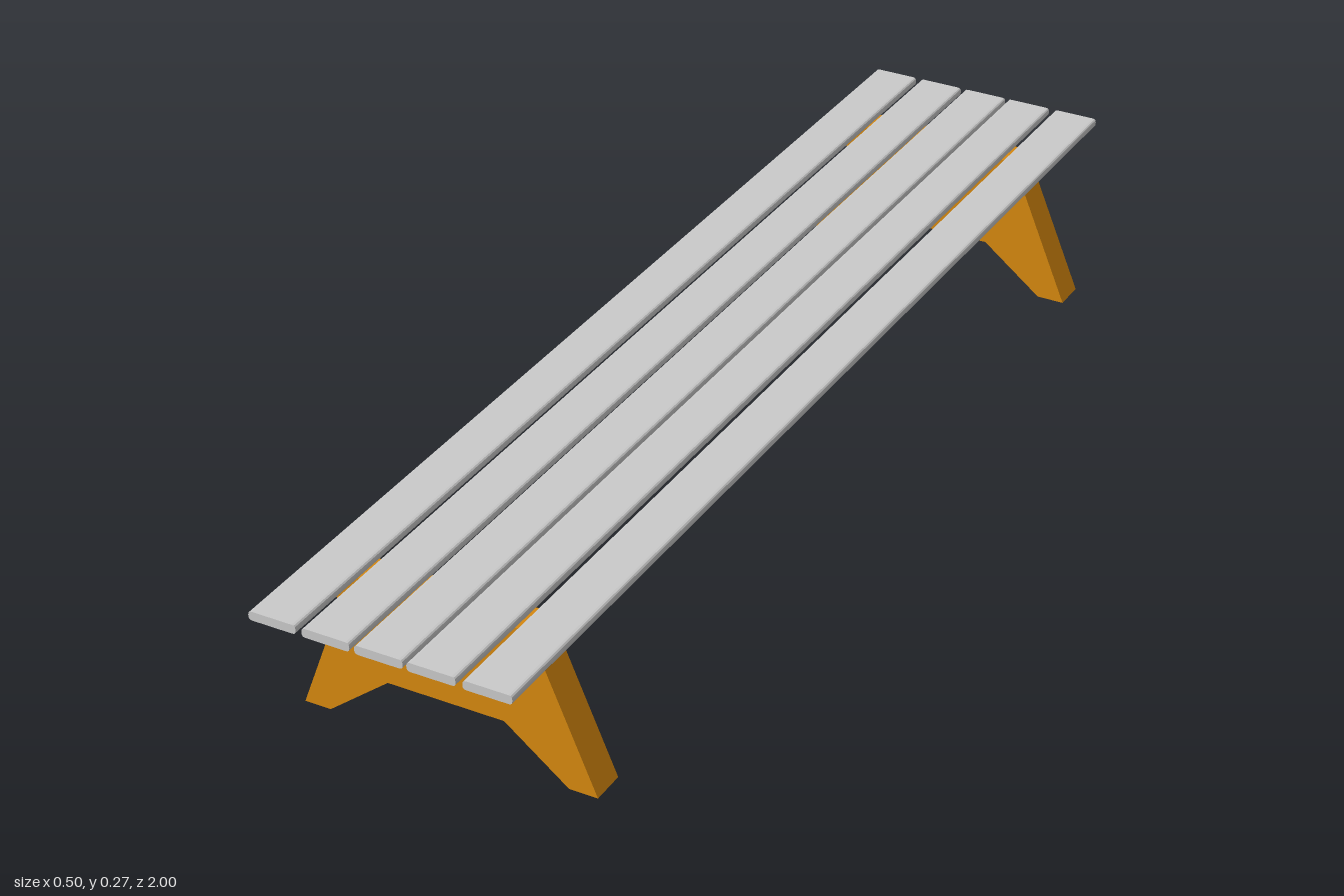
import * as THREE from 'three';

const slatMaterial = new THREE.MeshStandardMaterial({ color: 0xcacaca });
slatMaterial.name = 'light grey';
const legMaterial = new THREE.MeshStandardMaterial({ color: 0xd6880f });
legMaterial.name = 'orange wood';

// Extrude a cross-section along z, from z0 to z1
function extrudeBetween(shape, z0, z1) {
  const geometry = new THREE.ExtrudeGeometry(shape, {
    depth: z1 - z0, bevelEnabled: false, curveSegments: 3,
  });
  return geometry.translate(0, 0, z0);
}

// Rectangle with softly rounded corners, for the slat ends
function slatShape(width, height, r) {
  const x = width / 2, y = height / 2;
  const s = new THREE.Shape();
  s.moveTo(-x + r, -y);
  s.lineTo(x - r, -y);
  s.quadraticCurveTo(x, -y, x, -y + r);
  s.lineTo(x, y - r);
  s.quadraticCurveTo(x, y, x - r, y);
  s.lineTo(-x + r, y);
  s.quadraticCurveTo(-x, y, -x, y - r);
  s.lineTo(-x, -y + r);
  s.quadraticCurveTo(-x, -y, -x + r, -y);
  return s;
}

export function createModel() {
  const bench = new THREE.Group();
  bench.name = 'bench';

  // Seat: five long slats with narrow, slightly uneven gaps
  const slatGeometry = extrudeBetween(slatShape(0.08, 0.015, 0.006), -1, 1);
  [-0.18, -0.09, -0.002, 0.084, 0.175].forEach((x, i) => {
    const slat = new THREE.Mesh(slatGeometry, slatMaterial);
    slat.name = `seatSlat${i + 1}`;
    slat.position.set(x, 0.2605, 0);
    bench.add(slat);
  });

  // Legs: splayed trestle boards with a notch under the seat and an arch at the floor
  const legShape = new THREE.Shape([
    [-0.251, 0], [-0.206, 0], [-0.101, 0.083], [0.097, 0.083], [0.203, 0], [0.251, 0],
    [0.169, 0.195], [0.194, 0.253], [-0.194, 0.253], [-0.178, 0.195],
  ].map(([x, y]) => new THREE.Vector2(x, y)));
  [['frontLeg', 0.781, 0.839], ['backLeg', -0.861, -0.803]].forEach(([name, z0, z1]) => {
    const leg = new THREE.Mesh(extrudeBetween(legShape, z0, z1), legMaterial);
    leg.name = name;
    bench.add(leg);
  });

  return bench;
}
